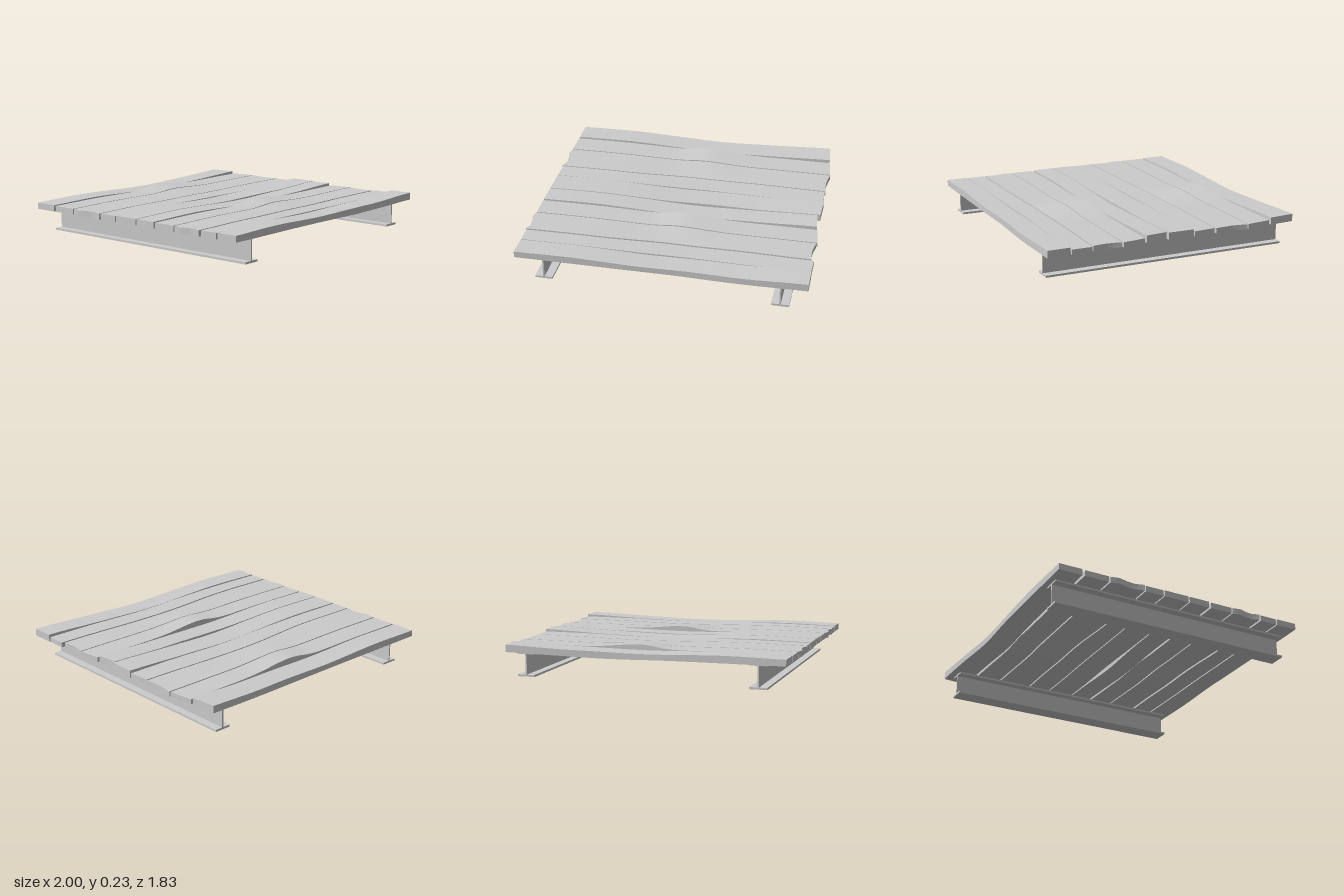
import * as THREE from 'three';

const material = new THREE.MeshStandardMaterial({ color: 0xcccccc });
const { lerp, smoothstep } = THREE.MathUtils;

// Soft hump of height 1 centred on x = c
const hump = (x, c, width) => Math.exp(-(((x - c) / width) ** 2));

// Gaps between boards, back to front: z, width, bend near the middle, drift along x, extra opening
const GAPS = [
  { z: -0.733, width: 0.018, bend: 0.011 },
  { z: -0.546, width: 0.01, bend: 0.004 },
  { z: -0.285, width: 0.01, drift: -0.03 },
  { z: -0.141, width: 0.008, bend: -0.012 },
  { z: 0.05, width: 0.008, bend: -0.003, opening: 0.024 },
  { z: 0.213, width: 0.016, bend: 0.006 },
  { z: 0.386, width: 0.009 },
  { z: 0.611, width: 0.015, drift: -0.025 },
  { z: 0.747, width: 0.01, bend: -0.013 },
];

// Edge line of a gap at x; side is -1 for its back edge and 1 for its front edge
function gapEdge({ z, width, bend = 0, drift = 0, opening = 0 }, side, x) {
  const middle = hump(x, 0.18, 0.28);
  const centre = z + bend * middle + drift * (smoothstep(x, -0.5, 0.05) - 0.4 * smoothstep(x, 0.4, 0.9));
  return centre + side * (width + opening * middle) / 2;
}

// Outer edges of the deck
const rearEdge = (x) => -0.909 + 0.01 * hump(x, 0.18, 0.25) - 0.011 * smoothstep(x, 0.2, 0.9);
const foreEdge = (x) => 0.904 - 0.014 * hump(x, 0.15, 0.25) + 0.007 * smoothstep(x, 0.2, 0.7);

// Height curves; the board ends lie level with the beams and the middle sags
const underside = (x) => 0.165 - 0.01 * hump(x, 0.22, 0.3) + 0.005 * smoothstep(x, 0.6, 1);
const plainTop = (x) => 0.205 + 0.005 * hump(x, -0.6, 0.3) - 0.005 * hump(x, 0.2, 0.3);
const raisedTop = (x) =>
  0.207 + 0.008 * hump(x, -0.6, 0.3) - 0.009 * hump(x, 0.05, 0.35) + 0.014 * smoothstep(x, 0.5, 1);
const swelling = (x) => 0.032 * hump(x, 0.05, x < 0.05 ? 0.14 : 0.25);

// Board kinds; warp is the amount of swelling at the back and front edges
const PLAIN = { top: plainTop, warp: [0, 0], bow: 0 };
const RAISED = { top: raisedTop, warp: [0, 0], bow: 0 };
const CREST = { top: plainTop, warp: [1, 0.6], bow: 0 };
const SLOPE = { top: plainTop, warp: [0.55, 0], bow: 0.012 };

// Boards from back to front: kind, x of the right-hand end at its back and front corners
const BOARDS = [
  [RAISED, 0.94, 0.955], [CREST, 0.957, 0.978], [SLOPE, 0.98, 0.972], [PLAIN, 0.965, 0.975],
  [RAISED, 0.978, 0.975], [RAISED, 0.955, 0.97], [CREST, 0.974, 0.995], [SLOPE, 0.988, 0.98],
  [PLAIN, 0.997, 0.995], [RAISED, 0.998, 1],
];

// A wavy board: a subdivided box whose vertices follow the edge and height curves
function board({ top, warp, bow }, endBack, endFront, backEdge, frontEdge) {
  const geometry = new THREE.BoxGeometry(1, 1, 1, 24, 1, 4);
  const p = geometry.attributes.position;
  for (let i = 0; i < p.count; i++) {
    const u = p.getX(i) + 0.5, t = p.getZ(i) + 0.5;
    const notch = bow * Math.sin(Math.PI * t);
    const x = lerp(-0.985 - Math.sin(7 * t) * bow, lerp(endBack, endFront, t) - notch, u);
    const lift = swelling(x) * lerp(warp[0], warp[1], t);
    const y = p.getY(i) > 0 ? top(x) + lift : underside(x) + lift * 0.5;
    p.setXYZ(i, x, y, lerp(backEdge(x), frontEdge(x), t));
  }
  geometry.computeVertexNormals();
  return new THREE.Mesh(geometry, material);
}

// An I-section beam extruded along z
function beam() {
  const height = 0.168, half = 0.06, flange = 0.014, web = 0.005;
  const side = [
    [half, 0], [half, flange], [web, flange],
    [web, height - flange], [half, height - flange], [half, height],
  ];
  const outline = [...side, ...side.map(([x, y]) => [-x, y]).reverse()];
  const shape = new THREE.Shape(outline.map(([x, y]) => new THREE.Vector2(x, y)));
  const geometry = new THREE.ExtrudeGeometry(shape, { depth: 1.74, bevelEnabled: false });
  geometry.translate(0, 0, -0.868);
  return new THREE.Mesh(geometry, material);
}

export function createModel() {
  const model = new THREE.Group();
  model.name = 'woodenDeck';

  // Deck boards, back to front
  const deck = new THREE.Group();
  deck.name = 'deckBoards';
  BOARDS.forEach(([kind, endBack, endFront], i) => {
    const backEdge = i > 0 ? (x) => gapEdge(GAPS[i - 1], 1, x) : rearEdge;
    const frontEdge = i < GAPS.length ? (x) => gapEdge(GAPS[i], -1, x) : foreEdge;
    const mesh = board(kind, endBack, endFront, backEdge, frontEdge);
    mesh.name = `board${i + 1}`;
    deck.add(mesh);
  });
  model.add(deck);

  // Supporting beams
  for (const [name, x] of [['rightBeam', -0.795], ['leftBeam', 0.815]]) {
    const mesh = beam();
    mesh.name = name;
    mesh.position.x = x;
    model.add(mesh);
  }
  return model;
}
